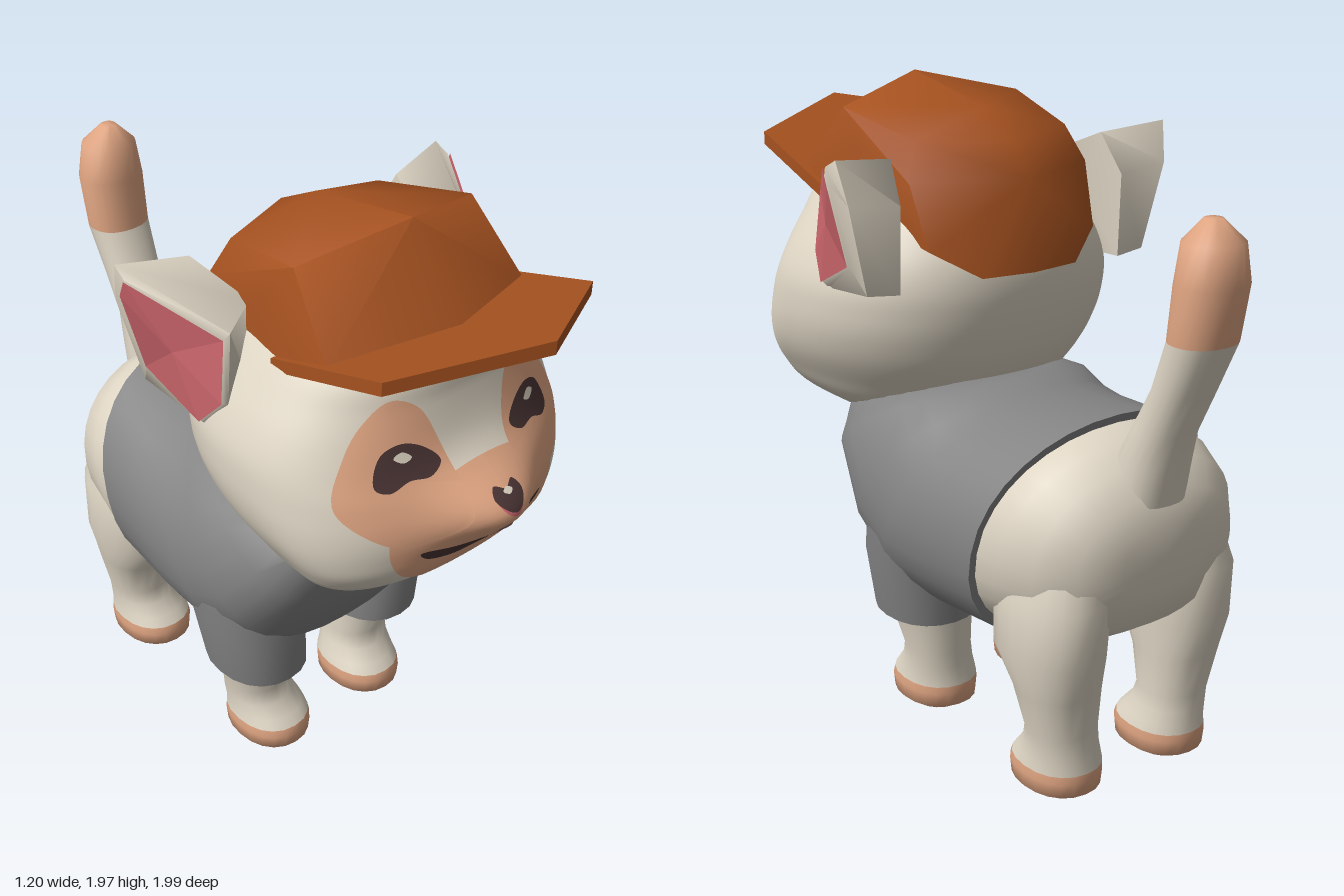
import * as THREE from 'three';
import { mergeVertices, toCreasedNormals } from 'three/addons/utils/BufferGeometryUtils.js';
import { ConvexGeometry } from 'three/addons/geometries/ConvexGeometry.js';

const paint = (name, color) => {
  const m = new THREE.MeshStandardMaterial({ color, side: THREE.DoubleSide });
  m.name = name;
  return m;
};
const V = (x, y, z) => new THREE.Vector3(x, y, z);

function named(name, geometry, material) {
  const m = new THREE.Mesh(geometry, material);
  m.name = name;
  return m;
}

const centre = (ring) => ring.reduce((s, p) => s.add(p), V(0, 0, 0)).divideScalar(ring.length);

// Closed skin through a list of rings with equal point counts
function loft(rings, crease = 1.1) {
  const n = rings[0].length;
  const end = (r) => r.map(() => centre(r));
  const all = [end(rings[0]), ...rings, end(rings[rings.length - 1])];
  const index = [];
  for (let i = 0; i < all.length - 1; i++) {
    for (let j = 0; j < n; j++) {
      const k = (j + 1) % n;
      const a = i * n + j, b = i * n + k, c = a + n, d = b + n;
      if (i > 0) index.push(a, c, b);
      if (i === 0) index.push(a, c, d);
      else if (i < all.length - 2) index.push(b, c, d);
    }
  }
  const g = new THREE.BufferGeometry().setFromPoints(all.flat());
  g.setIndex(index);
  return toCreasedNormals(mergeVertices(g, 1e-5), crease);
}

// Rounded outline, n = 2 is an ellipse and larger is boxier
function oval(count, n, fn) {
  const pow = (v) => Math.sign(v) * Math.abs(v) ** (2 / n);
  return Array.from({ length: count }, (_, j) => {
    const a = (j / count) * Math.PI * 2;
    return fn(pow(Math.cos(a)), pow(Math.sin(a)));
  });
}

// Upright limb: rows of y, centre x, centre z, radius x, radius z
const limb = (rows, side = 1) => loft(rows.map(([y, cx, cz, rx, rz]) =>
  oval(20, 2.2, (c, s) => V(cx * side + rx * c, y, cz + rz * s))));

// Trunk: rows of z at top, z at bottom, half width, bottom y, top y; each ring bends back upward
const trunk = (rows) => loft(rows.map(([zt, zb, w, yb, yt]) =>
  oval(32, 2.2, (c, s) => {
    const t = (s + 1) / 2;
    return V(w * c, yb + (yt - yb) * t, zb + (zt - zb) * t ** 1.7);
  })));

// Head sections at even heights: half width, back z, front z
const HEAD_Y = 0.92, HEAD_H = 0.96, HEAD_N = 2.4;
const headCurve = new THREE.CatmullRomCurve3([
  [.26, .2, .48], [.385, .06, .70], [.445, -.02, .78], [.488, -.07, .80], [.51, -.1, .80],
  [.515, -.12, .78], [.507, -.13, .745], [.475, -.125, .72], [.425, -.1, .70], [.368, -.06, .685],
  [.30, -.02, .62], [.24, .06, .52], [.13, .16, .36],
].map((p) => V(...p)), false, 'catmullrom');

// The widest point moves forward towards the jaw
function headSection(y) {
  const p = headCurve.getPoint(THREE.MathUtils.clamp((y - HEAD_Y) / HEAD_H, 0, 1));
  const widest = 0.57 + 0.14 * THREE.MathUtils.smoothstep(1.32 - y, 0, 0.3);
  return { w: p.x, back: p.y, front: p.z, mid: p.y + widest * (p.z - p.y) };
}
const muzzle = (x, y) => 0.115 * Math.exp(-((x / 0.17) ** 2) - ((y - 1.27) / 0.1) ** 2);

function faceZ(x, y) {
  const h = headSection(y);
  const t = Math.min(1, Math.abs(x / h.w)) ** HEAD_N;
  return h.mid + (h.front - h.mid) * (1 - t) ** (1 / HEAD_N) + muzzle(x, y);
}

function headGeometry() {
  const rings = [];
  for (let i = 0; i <= 64; i++) {
    const y = HEAD_Y + HEAD_H * i / 64, h = headSection(y);
    rings.push(oval(80, HEAD_N, (c, s) => s > 0
      ? V(h.w * c, y, h.mid + (h.front - h.mid) * s + muzzle(h.w * c, y))
      : V(h.w * c, y, h.mid + (h.mid - h.back) * s)));
  }
  return loft(rings, 1.4);
}

// Painted mark laid over the face: smooth outline around a centre
function mark(points, cx, cy, lift, side = 1) {
  const edge = new THREE.CatmullRomCurve3(points.map(([x, y]) => V(x, y, 0)), true, 'centripetal')
    .getPoints(56);
  const rings = 12, n = edge.length, pts = [], index = [];
  for (let i = 0; i <= rings; i++) {
    for (const p of edge) {
      const x = cx + (p.x - cx) * i / rings, y = cy + (p.y - cy) * i / rings;
      pts.push(V(x * side, y, faceZ(x, y) + lift));
    }
  }
  for (let i = 0; i < rings; i++) {
    for (let j = 0; j < n - 1; j++) {
      const a = i * n + j, b = a + 1, c = a + n, d = c + 1;
      // outlines run clockwise on the +x side
      if (side > 0) index.push(a, b, c, b, d, c);
      else index.push(a, c, b, b, c, d);
    }
  }
  const g = new THREE.BufferGeometry().setFromPoints(pts);
  g.setIndex(index);
  g.computeVertexNormals();
  return g;
}

const hull = (pts, crease) =>
  toCreasedNormals(new ConvexGeometry(pts.map((p) => V(...p))), crease);

// Ear rings, from the root to the outer edge to the inner edge
const earRings = [
  [[.38, 1.80, .02], [.40, 1.68, -.06], [.40, 1.42, -.05], [.38, 1.42, .15], [.36, 1.5, .24],
    [.32, 1.72, .2]],
  [[.588, 1.825, -.03], [.57, 1.70, -.062], [.505, 1.43, -.04], [.485, 1.4, .21],
    [.465, 1.49, .285], [.445, 1.70, .275]],
  [[.592, 1.80, .02], [.592, 1.75, 0], [.53, 1.51, .01], [.505, 1.42, .21], [.48, 1.5, .28],
    [.46, 1.685, .27]],
];

export function createModel() {
  const cream = paint('cream fur', 0xddd4c3);
  const peach = paint('peach fur', 0xe0a582);
  const grey = paint('grey shirt', 0x848484);
  const brown = paint('brown cap', 0xa65220);
  const pink = paint('pink skin', 0xcc666c);
  const dark = paint('dark markings', 0x4a3434);

  const model = new THREE.Group();
  model.name = 'cat';
  const add = (name, g, m) => model.add(named(name, g, m));

  // Trunk and shirt
  add('hindquarters', trunk([
    [-.35, -.2, .38, .41, 1.07], [-.56, -.34, .40, .40, 1.10], [-.63, -.45, .395, .42, 1.08],
    [-.70, -.60, .36, .46, 1.03], [-.755, -.72, .28, .54, .96], [-.785, -.765, .15, .66, .87],
  ]), cream);
  add('shirt', trunk([
    [-.07, .47, .33, .91, 1.12], [-.14, .42, .41, .74, 1.125], [-.2, .27, .44, .48, 1.105],
    [-.3, .1, .445, .36, 1.10], [-.4, -.1, .44, .36, 1.105], [-.56, -.36, .42, .375, 1.125],
  ]), grey);

  // Tail
  add('tail', limb([
    [.92, 0, -.68, .11, .10], [1.03, 0, -.705, .105, .10], [1.14, 0, -.75, .09, .085],
    [1.27, 0, -.82, .09, .08], [1.42, 0, -.885, .1, .085],
  ]), cream);
  add('tailTip', limb([
    [1.42, 0, -.885, .1, .085], [1.58, 0, -.91, .105, .088], [1.69, 0, -.91, .085, .08],
    [1.75, 0, -.905, .025, .025],
  ]), peach);

  // Head
  add('head', headGeometry(), cream);
  add('muzzlePatch', mark([
    [0, 1.39], [.12, 1.375], [.25, 1.32], [.31, 1.22], [.285, 1.12], [.19, 1.05], [0, 1.02],
    [-.19, 1.05], [-.285, 1.12], [-.31, 1.22], [-.25, 1.32], [-.12, 1.375],
  ], 0, 1.2, .006), peach);
  add('noseTip', mark([
    [0, 1.32], [.045, 1.315], [.035, 1.285], [0, 1.262], [-.035, 1.285], [-.045, 1.315],
  ], 0, 1.29, .010), pink);
  add('nose', mark([
    [0, 1.328], [.035, 1.337], [.05, 1.312], [0, 1.275], [-.05, 1.312], [-.035, 1.337],
  ], 0, 1.31, .014), dark);
  add('noseGlint', mark([[0, 1.332], [.016, 1.325], [0, 1.318], [-.016, 1.325]],
    0, 1.325, .018), cream);

  for (const side of [1, -1]) {
    const label = side > 0 ? 'left' : 'right';

    // Face markings
    add(label + 'EyePatch', mark([
      [.10, 1.36], [.12, 1.47], [.16, 1.56], [.23, 1.595], [.31, 1.54], [.37, 1.46],
      [.42, 1.33], [.36, 1.25], [.25, 1.2], [.12, 1.26],
    ], .24, 1.38, .007, side), peach);
    add(label + 'Eye', mark([
      [.13, 1.415], [.17, 1.46], [.23, 1.482], [.29, 1.46], [.322, 1.38], [.29, 1.365],
      [.23, 1.385], [.17, 1.385],
    ], .23, 1.42, .012, side), dark);
    add(label + 'EyeGlint', mark([
      [.21, 1.445], [.235, 1.463], [.26, 1.45], [.235, 1.434],
    ], .235, 1.448, .016, side), cream);
    add(label + 'Mouth', mark([
      [0, 1.215], [.04, 1.195], [.12, 1.175], [.23, 1.175], [.21, 1.15], [.12, 1.135],
      [.05, 1.15], [0, 1.175],
    ], .1, 1.157, .012, side), dark);

    // Ear with a pink inner face
    const rings = earRings.map((ring) => {
      const pts = ring.map(([x, y, z]) => V(x * side, y, z));
      return side > 0 ? pts : pts.reverse();
    });
    add(label + 'Ear', loft(rings, 1.2), cream);
    const rim = rings[2].map((p) => p.clone().add(V(.007 * side, 0, .003)));
    const inner = new THREE.BufferGeometry().setFromPoints(
      rim.flatMap((p, i) => [centre(rim), p, rim[(i + 1) % rim.length]]));
    inner.computeVertexNormals();
    add(label + 'InnerEar', inner, pink);

    // Legs, paws and sleeve
    const paw = (z) => [[.006, .2, z, .085, .105], [.03, .2, z, .118, .145],
      [.075, .2, z, .122, .15], [.1, .2, z - .004, .12, .145]];
    const ankle = (z) => [[.1, .2, z - .004, .12, .145], [.13, .202, z - .015, .113, .13]];
    const legs = {
      Front: [.11, [[.17, .21, .075, .105, .112], [.22, .215, .067, .103, .102],
        [.34, .228, .078, .12, .13], [.5, .25, .08, .13, .13]]],
      Back: [-.54, [[.17, .208, -.572, .105, .112], [.22, .213, -.58, .105, .102],
        [.35, .225, -.575, .122, .13], [.47, .235, -.55, .14, .185],
        [.65, .23, -.55, .14, .2], [.8, .21, -.55, .11, .16]]],
    };
    for (const [end, [z, rows]] of Object.entries(legs)) {
      add(label + end + 'Paw', limb(paw(z), side), peach);
      add(label + end + 'Leg', limb([...ankle(z), ...rows], side), cream);
      const disc = new THREE.CylinderGeometry(.064, .064, .006, 16);
      disc.translate(.2 * side, .003, z);
      add(label + end + 'Pad', disc, pink);
    }
    add(label + 'Sleeve', limb([[.345, .238, .10, .147, .17], [.55, .255, .09, .168, .178],
      [.75, .28, .06, .15, .16]], side), grey);
  }

  // Cap crown, hanging low at the back
  const half = [[.32, 1.895, .38], [.37, 1.63, .38], [.36, 1.69, .56], [.27, 1.83, .06],
    [.345, 1.68, .18], [.32, 1.72, .02], [.3, 1.53, -.05], [.17, 1.45, -.13]];
  add('capCrown', hull([
    [0, 1.97, .48], [0, 1.72, .69], [0, 1.90, .1], [0, 1.82, -.05], [0, 1.72, -.12],
    [0, 1.45, -.155], ...half, ...half.map(([x, y, z]) => [-x, y, z]),
  ], 1.0), brown);

  // Cap brim, a pointed plate sloping up to the front
  const outline = new THREE.Shape([[-.38, .36], [.38, .36], [.38, .78], [0, .99], [-.38, .78]]
    .map(([x, z]) => new THREE.Vector2(x, z)));
  const brim = new THREE.ExtrudeGeometry(outline, { depth: .04, bevelEnabled: false });
  brim.rotateX(Math.PI / 2);
  const pos = brim.attributes.position;
  for (let i = 0; i < pos.count; i++) {
    pos.setY(i, pos.getY(i) + 1.64 + (pos.getZ(i) - .36) * .315);
  }
  brim.computeVertexNormals();
  add('capBrim', brim, brown);

  return model;
}
